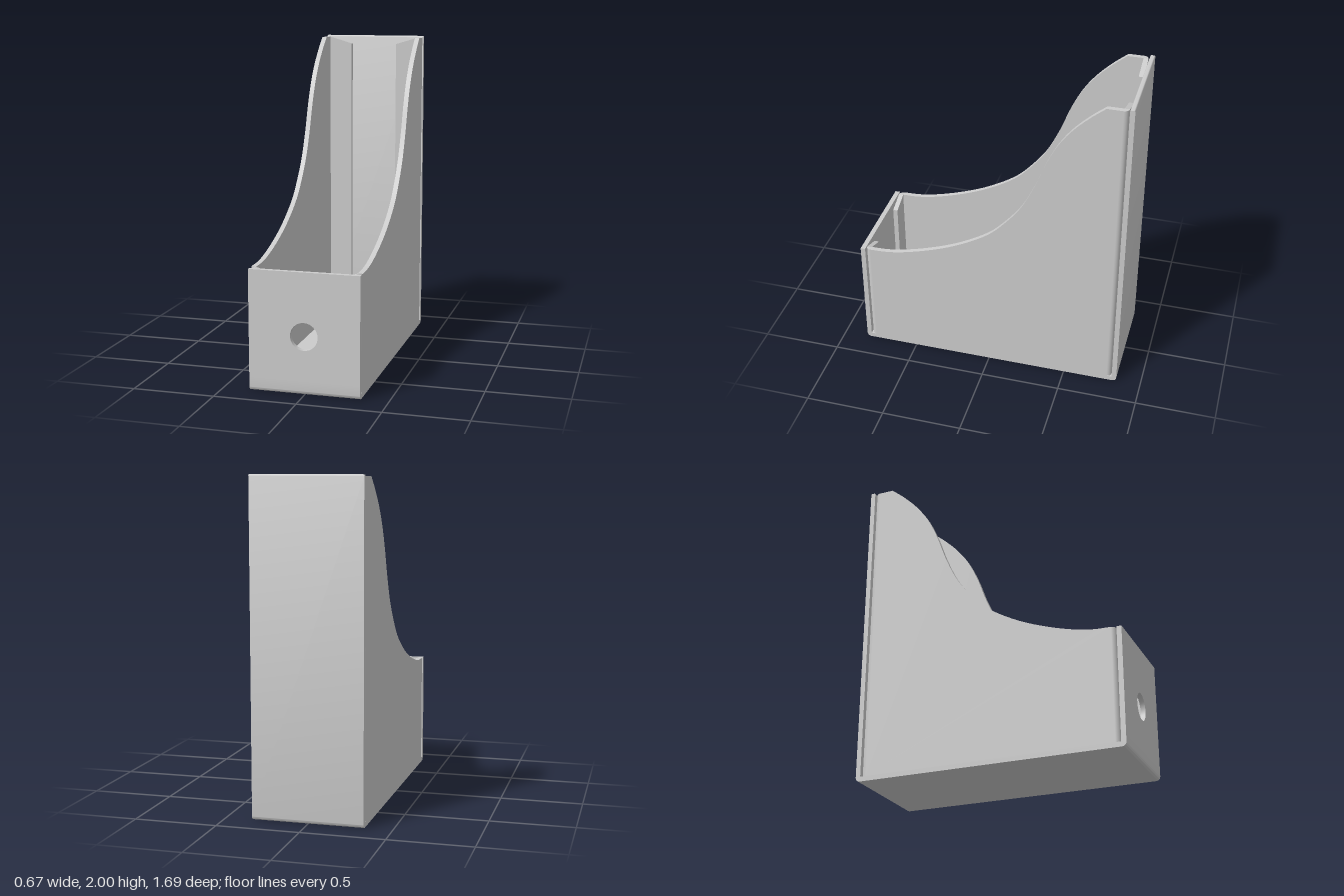
import * as THREE from 'three';
import { toCreasedNormals } from 'three/addons/utils/BufferGeometryUtils.js';

const W = 0.335;      // half width
const D = 0.845;      // half depth
const T = 0.03;       // board thickness
const FOLD = 0.78;    // z where the side boards start to fold inward
const FRONT_TOP = 0.73, BACK_TOP = 1.99;

const material = new THREE.MeshStandardMaterial({ color: 0xcccccc, roughness: 0.8 });

function add(group, name, geometry) {
  const mesh = new THREE.Mesh(geometry, material);
  mesh.name = name;
  group.add(mesh);
  return mesh;
}

function extrude(shape, depth) {
  const g = new THREE.ExtrudeGeometry(shape, { depth, bevelEnabled: false, curveSegments: 16 });
  return toCreasedNormals(g, 0.6);
}

// Extrudes a (z, y) profile across the x range xMin..xMax
function extrudeAcross(shape, xMin, xMax) {
  return extrude(shape, xMax - xMin).rotateY(-Math.PI / 2).translate(xMax, 0, 0);
}

function polygon(points) {
  return new THREE.Shape(points.map(([x, y]) => new THREE.Vector2(x, y)));
}

export function createModel() {
  const model = new THREE.Group();
  model.name = 'magazineFile';

  // Back and bottom in one bent band, with rounded lower corners
  const r = 0.03, joint = 0.08;
  const band = new THREE.Shape();
  band.moveTo(-D, 1.99);
  band.lineTo(-D, r);
  band.quadraticCurveTo(-D, 0, -D + r, 0);
  band.lineTo(D - r, 0);
  band.quadraticCurveTo(D, 0, D, r);
  band.lineTo(D, joint);
  band.lineTo(D - T, joint);
  band.lineTo(D - T, T);
  band.lineTo(-D + T, T);
  band.lineTo(-D + T, 1.99);
  band.quadraticCurveTo(-D + T, 2, -D + T - 0.01, 2);
  band.lineTo(-D + 0.01, 2);
  band.quadraticCurveTo(-D, 2, -D, 1.99);
  add(model, 'backAndBottom', extrudeAcross(band, -W, W));

  // Front board with the round finger hole
  const front = polygon([[-W, joint], [W, joint], [W, FRONT_TOP], [-W, FRONT_TOP]]);
  const hole = new THREE.Path();
  hole.absarc(0, 0.35, 0.083, 0, Math.PI * 2, true);
  front.holes.push(hole);
  add(model, 'frontBoard', extrude(front, T).translate(0, 0, D - T));

  // Swept upper edge of the sides, as (z, y)
  const sweep = new THREE.CatmullRomCurve3([
    [FOLD, 0.732], [0.68, 0.735], [0.58, 0.75], [0.4, 0.8], [0.2, 0.88], [0, 1],
    [-0.1, 1.1], [-0.2, 1.23], [-0.28, 1.39], [-0.35, 1.57], [-0.42, 1.71],
    [-0.5, 1.82], [-0.6, 1.92], [-0.685, BACK_TOP],
  ].map(([z, y]) => new THREE.Vector3(z, y, 0)));
  const sideShape = polygon([
    [-FOLD, BACK_TOP], [-FOLD, T], [FOLD, T],
    ...sweep.getPoints(60).map((p) => [p.x, p.y]),
  ]);

  for (const s of [1, -1]) {
    const side = new THREE.Group();
    side.name = s > 0 ? 'leftSide' : 'rightSide';
    model.add(side);
    const inner = W - T;
    const [x0, x1] = s > 0 ? [inner, W] : [-W, -inner];
    add(side, 'sidePanel', extrudeAcross(sideShape, x0, x1));

    for (const e of [1, -1]) {
      const end = e > 0 ? 'front' : 'back';
      const top = e > 0 ? FRONT_TOP : BACK_TOP;
      const edge = e > 0 ? 0.18 : 0.155;

      // Rounded fold at the corner
      const quarter = s > 0 ? (e > 0 ? 0 : 1) : (e > 0 ? 3 : 2);
      const fold = new THREE.CylinderGeometry(T, T, top - T, 10, 1, false, quarter * Math.PI / 2, Math.PI / 2);
      add(side, end + 'Fold', fold.translate(s * inner, (top + T) / 2, e * FOLD));

      // Inward flap with a sloping top
      const flap = polygon([
        [s * edge, T], [s * inner, T], [s * inner, top], [s * edge, top - 0.045],
      ]);
      add(side, end + 'Flap', extrude(flap, T).translate(0, 0, e > 0 ? FOLD : -FOLD - T));
    }
  }
  return model;
}
